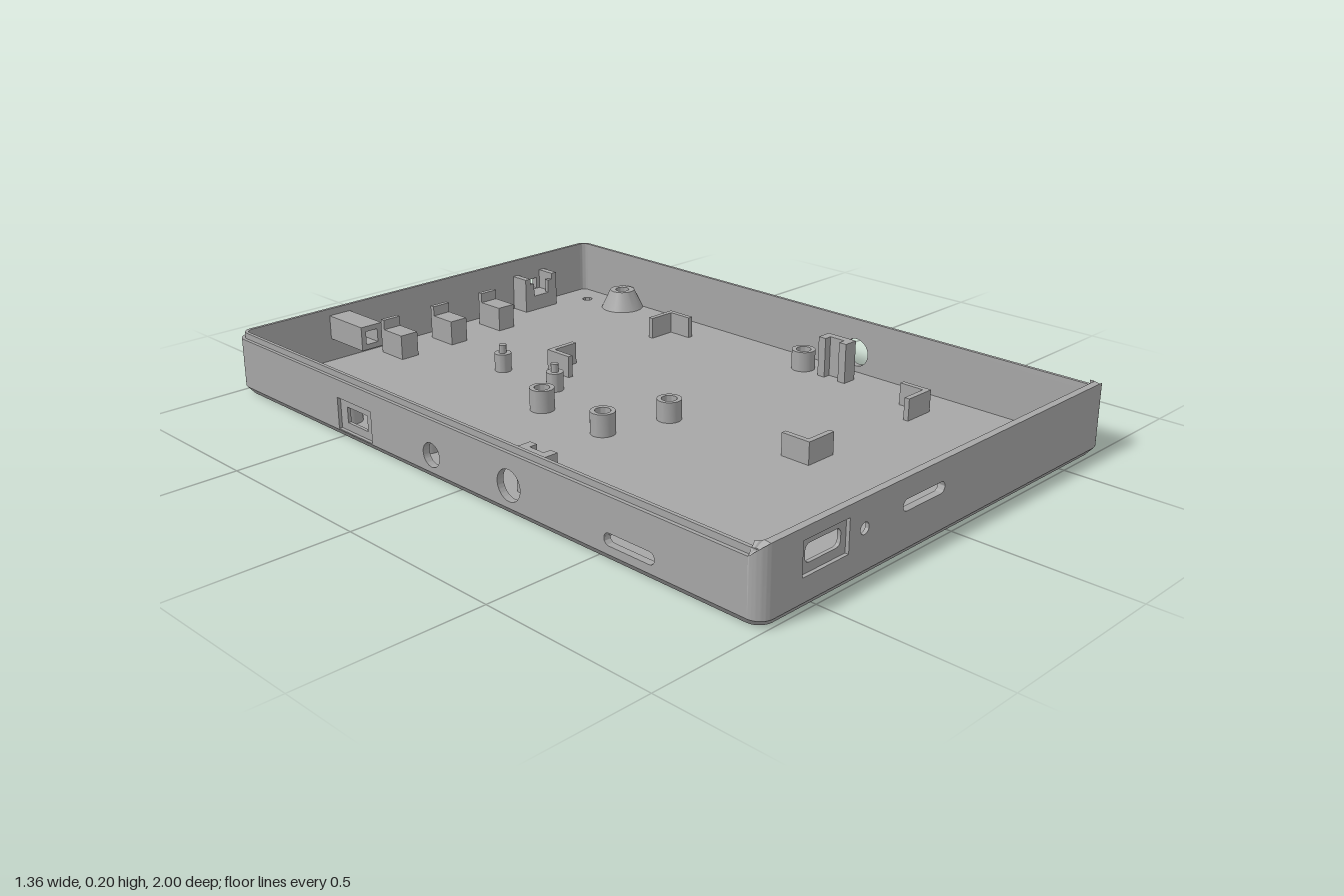
import * as THREE from 'three';
import { toCreasedNormals } from 'three/addons/utils/BufferGeometryUtils.js';

const plastic = new THREE.MeshStandardMaterial({ color: 0xa6a6a6 });
plastic.name = 'grey plastic';

const W = 0.68, D = 1, R = 0.04, T = 0.02; // half width, half depth, corner radius, wall
const FLOOR = 0.02, RIM = 0.165, LIP = 0.182, FRONT = 0.2;

export function createModel() {
  const model = new THREE.Group();
  model.name = 'enclosureTray';

  const add = (name, geometry, parent = model) => {
    const mesh = new THREE.Mesh(toCreasedNormals(geometry, 0.6), plastic);
    mesh.name = name;
    parent.add(mesh);
    return mesh;
  };

  // Rounded rectangle outline; r = half the size gives a slot or circle
  const outline = (Type, cx, cy, w, h, r) => {
    const p = new Type(), x = w / 2 - r, y = h / 2 - r;
    if (r === 0) {
      p.moveTo(cx - x, cy - y).lineTo(cx + x, cy - y).lineTo(cx + x, cy + y).lineTo(cx - x, cy + y);
    } else {
      [[x, y], [-x, y], [-x, -y], [x, -y]].forEach(([px, py], i) =>
        p.absarc(cx + px, cy + py, r, i * Math.PI / 2, (i + 1) * Math.PI / 2, false));
    }
    p.closePath();
    return p;
  };
  const extrude = (shape, depth) =>
    new THREE.ExtrudeGeometry(shape, { depth, bevelEnabled: false, curveSegments: 10 });

  // Flat plan shape raised from y0 to y1 (shape y is -z)
  const slab = (shape, y0, y1) => extrude(shape, y1 - y0).rotateX(-Math.PI / 2).translate(0, y0, 0);
  const box = (name, x0, x1, y0, y1, z0, z1, parent) =>
    add(name, new THREE.BoxGeometry(x1 - x0, y1 - y0, z1 - z0)
      .translate((x0 + x1) / 2, (y0 + y1) / 2, (z0 + z1) / 2), parent);
  const lathe = (name, points, x, z, y = 0) =>
    add(name, new THREE.LatheGeometry(points.map(p => new THREE.Vector2(...p)), 32)).position.set(x, y, z);

  // Floor with screw holes and a chamfered lower edge
  const screws = [[-0.61, -0.74], [0.61, -0.74], [-0.61, 0.925], [0.61, 0.925]];
  const plan = outline(THREE.Shape, 0, 0, 2 * W, 2 * D, R);
  for (const [x, z] of screws) plan.holes.push(outline(THREE.Path, x, -z, 0.076, 0.076, 0.038));
  for (const x of [-0.585, 0.585]) plan.holes.push(outline(THREE.Path, x, 0.885, 0.032, 0.032, 0.016));
  const floor = slab(plan, 0, FLOOR), fp = floor.attributes.position;
  for (let i = 0; i < fp.count; i++) {
    const x = fp.getX(i), z = fp.getZ(i);
    if (fp.getY(i) < 0.001 && (Math.abs(x) > 0.66 || Math.abs(z) > 0.97)) {
      fp.setX(i, x * 0.978);
      fp.setZ(i, z * 0.985);
    }
  }
  add('floor', floor);

  // Walls in two layers, so openings can be recessed on either face: [x, y, w, h, r]
  const wall = (name, length, top, dist, angle, outer, inner) => {
    const group = new THREE.Group();
    group.name = name;
    group.rotation.y = angle;
    model.add(group);
    [outer, inner].forEach((holes, i) => {
      const s = outline(THREE.Shape, 0, (FLOOR + top) / 2, length, top - FLOOR, 0);
      for (const h of holes) s.holes.push(outline(THREE.Path, ...h));
      add(i ? 'innerLayer' : 'outerLayer',
        extrude(s, T / 2).translate(0, 0, dist - (i + 1) * T / 2), group);
    });
  };
  const frontSlot = [-0.12, 0.13, 0.16, 0.03, 0.0149];
  wall('frontWall', 2 * (W - R), FRONT, D, 0,
    [[-0.472, 0.125, 0.156, 0.088, 0], [-0.34, 0.125, 0.03, 0.03, 0.015], frontSlot],
    [[-0.472, 0.127, 0.12, 0.046, 0.015], [-0.34, 0.125, 0.08, 0.07, 0], frontSlot]);
  const back = [[-0.41, 0.087, 0.065, 0.036, 0], [0.34, 0.125, 0.04, 0.04, 0]];
  wall('backWall', 2 * (W - R), RIM, D, Math.PI, back, back);
  const right = [[-0.2, 0.08, 0.084, 0.084, 0.042]];
  wall('rightSideWall', 2 * (D - R), RIM, W, Math.PI / 2, right, right);
  const left = [[-0.1, 0.068, 0.066, 0.066, 0.033], [0.2, 0.08, 0.084, 0.084, 0.042],
    [0.61, 0.058, 0.16, 0.032, 0.0159]];
  wall('leftSideWall', 2 * (D - R), RIM, W, -Math.PI / 2,
    [...left, [-0.43, 0.068, 0.15, 0.09, 0]], [...left, [-0.43, 0.068, 0.09, 0.045, 0]]);

  // Rounded wall corners; the front pair curve up to the taller front wall
  for (let q = 0; q < 4; q++) {
    const a = q * Math.PI / 2, s = new THREE.Shape();
    const cx = (q === 0 || q === 3 ? 1 : -1) * (W - R), cy = (q < 2 ? 1 : -1) * (D - R);
    s.absarc(cx, cy, R, a, a + Math.PI / 2, false);
    s.absarc(cx, cy, R - T, a + Math.PI / 2, a, true);
    s.closePath();
    const g = slab(s, FLOOR, RIM), p = g.attributes.position;
    for (let i = 0; i < p.count; i++) {
      if (q < 2 || p.getY(i) < 0.1) continue;
      const t = Math.min(1, Math.max(0, (Math.abs(p.getX(i)) - W + R) / R));
      p.setY(i, RIM + (FRONT - RIM) * Math.sqrt(1 - t * t));
    }
    add('wallCorner', g);
  }

  // Thin raised lip along the inside of the rim
  const lip = outline(THREE.Shape, 0, 0, 2 * W - T, 2 * D - T, R - T / 2);
  lip.holes.push(outline(THREE.Path, 0, 0, 2 * (W - T), 2 * (D - T), R - T));
  add('rimLip', slab(lip, RIM, LIP));

  // Snap ridges inside the front wall
  for (const x of [-0.335, 0.355]) box('snapRidge', x - 0.155, x + 0.155, 0.176, 0.188, 0.973, 0.981);

  // Conical screw bosses, counterbored from below
  for (const [x, z] of screws) {
    lathe('screwBoss', [[0.068, FLOOR], [0.04, 0.08], [0.022, 0.08], [0.022, 0.035],
      [0.038, 0.035], [0.038, FLOOR]], x, z);
  }

  // Hollow standoffs: x, z, top
  for (const [x, z, h] of [[-0.62, -0.54, 0.085], [-0.62, -0.325, 0.085], [-0.593, -0.23, 0.085],
    [-0.593, 0.015, 0.085], [-0.195, -0.23, 0.085], [-0.195, 0.015, 0.085], [0.003, 0.07, 0.08],
    [0.575, 0.07, 0.08], [-0.62, 0.445, 0.06], [-0.62, 0.69, 0.06]]) {
    lathe('standoff', [[0.035, FLOOR], [0.035, h], [0.022, h], [0.022, FLOOR + 0.003],
      [0, FLOOR + 0.003]], x, z);
  }

  // Locating pins with a shoulder
  for (const z of [-0.55, -0.32]) {
    lathe('locatingPin', [[0.025, FLOOR], [0.025, 0.075], [0.011, 0.075], [0.011, 0.1], [0, 0.1]], -0.067, z);
  }

  // L-shaped corner guides
  for (const [x, z, sx, sz] of [[0.025, -0.455, 1, 1], [0.55, -0.455, -1, 1],
    [0.025, 0.545, 1, -1], [0.55, 0.545, -1, -1]]) {
    const span = (c, s, l) => [Math.min(c, c + s * l), Math.max(c, c + s * l)];
    box('cornerGuide', ...span(x, sx, 0.1), FLOOR, 0.085, ...span(z, sz, 0.016));
    box('cornerGuide', ...span(x, sx, 0.016), FLOOR, 0.085, ...span(z, sz, 0.092));
  }

  // Channel clips facing each other across the tray
  for (const s of [-1, 1]) {
    const c = new THREE.Shape();
    [[0.603, 0.14], [0.603, 0.24], [0.557, 0.24], [0.557, 0.215], [0.58, 0.215], [0.58, 0.165],
      [0.557, 0.165], [0.557, 0.14]].forEach(([x, z], i) => c[i ? 'lineTo' : 'moveTo'](s * x, -z));
    add('channelClip', slab(c, FLOOR, 0.14));
  }

  // Stepped support blocks near the back
  for (const x of [-0.195, -0.005, 0.187]) {
    box('supportBlock', x - 0.03, x + 0.03, FLOOR, 0.095, -0.92, -0.835);
    box('supportBlockStop', x - 0.03, x + 0.03, FLOOR, 0.125, -0.935, -0.92);
  }

  // Square tube behind the small back opening
  const tube = outline(THREE.Shape, -0.34, 0.125, 0.072, 0.072, 0);
  tube.holes.push(outline(THREE.Path, -0.34, 0.125, 0.04, 0.04, 0));
  add('squareTube', extrude(tube, 0.162).translate(0, 0, -0.982));

  // Cradle around the wide back opening
  box('cradleBase', 0.342, 0.475, FLOOR, 0.068, -0.981, -0.918);
  box('cradleSide', 0.342, 0.362, 0.068, 0.13, -0.981, -0.918);
  box('cradleSide', 0.455, 0.475, 0.068, 0.13, -0.981, -0.918);
  box('cradleStop', 0.362, 0.378, 0.068, 0.11, -0.932, -0.918);
  box('cradleStop', 0.439, 0.455, 0.068, 0.11, -0.932, -0.918);

  return model;
}
